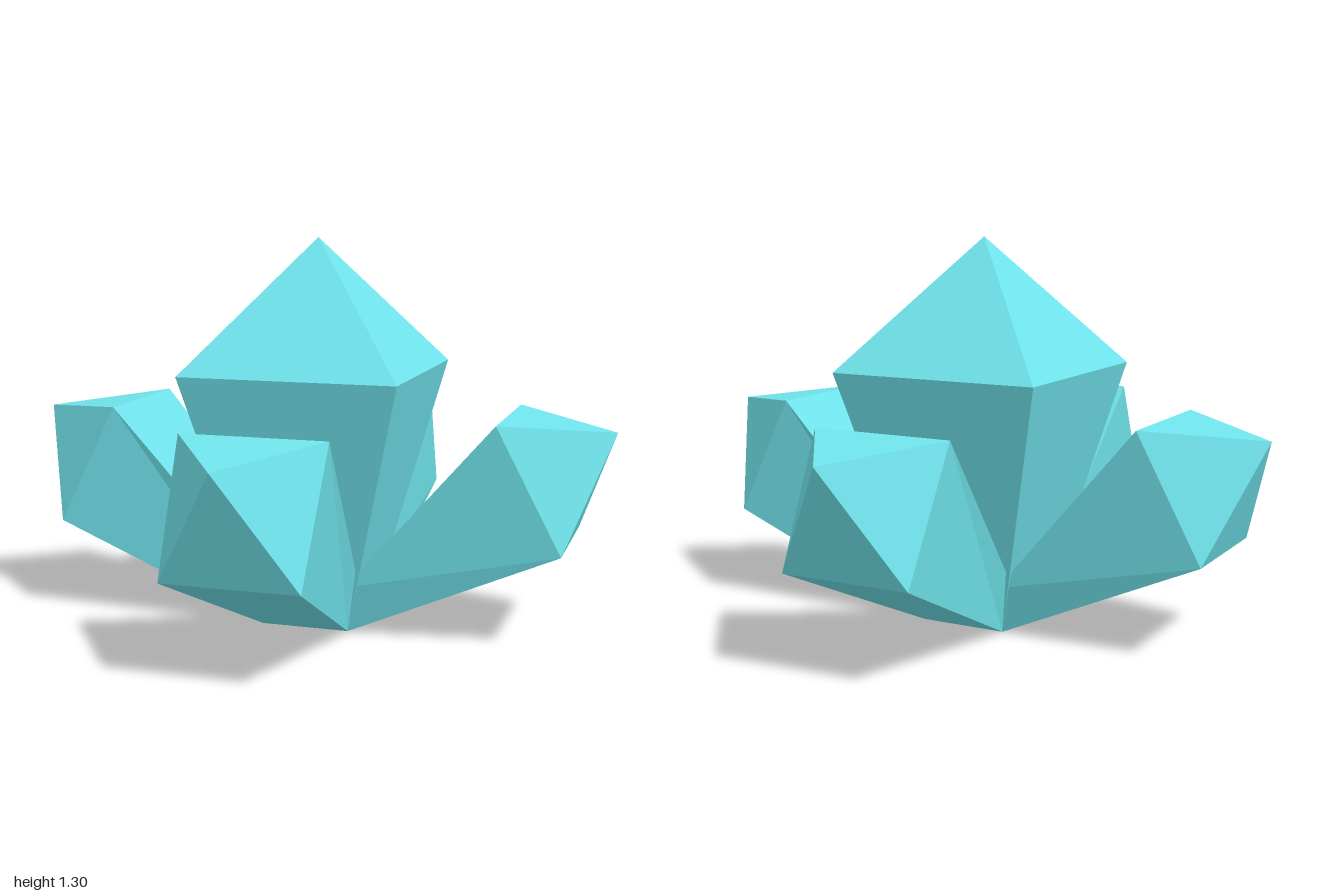
import * as THREE from 'three';

const material = new THREE.MeshStandardMaterial({ color: 0x70e4ec, flatShading: true });

// Four-sided crystal: base ring, shoulder ring (counter-clockwise seen from the tip) and a tip
function crystal(name, base, shoulder, tip) {
  const points = [];
  for (let i = 0; i < 4; i++) {
    const j = (i + 1) % 4;
    points.push(base[i], base[j], shoulder[j], base[i], shoulder[j], shoulder[i]);
    points.push(shoulder[i], shoulder[j], tip);
  }
  points.push(base[0], base[2], base[1], base[0], base[3], base[2]);
  const geometry = new THREE.BufferGeometry();
  geometry.setAttribute('position', new THREE.Float32BufferAttribute(points.flat(), 3));
  geometry.computeVertexNormals();
  const mesh = new THREE.Mesh(geometry, material);
  mesh.name = name;
  return mesh;
}

// Horizontal square ring
const square = (s, y) => [[s, y, s], [s, y, -s], [-s, y, -s], [-s, y, s]];

// Slanted ring across a side crystal, given its upper and lower edges as [x, y, half width]
const slanted = ([ux, uy, uw], [lx, ly, lw]) =>
  [[ux, uy, uw], [lx, ly, lw], [lx, ly, -lw], [ux, uy, -uw]];

export function createModel() {
  const group = new THREE.Group();
  group.name = 'crystalCluster';

  // Tall upright crystal
  group.add(crystal('centreCrystal', square(0.15, 0), square(0.366, 0.862), [0, 1.3, 0]));

  // Four crystals leaning outwards
  ['leftCrystal', 'backCrystal', 'rightCrystal', 'frontCrystal'].forEach((name, i) => {
    const arm = crystal(
      name,
      slanted([0.15, 0.16, 0.186], [0.15, 0, 0.15]),
      slanted([0.65, 0.733, 0.238], [0.86, 0.325, 0.22]),
      [1, 0.692, 0]
    );
    arm.rotation.y = i * Math.PI / 2;
    group.add(arm);
  });
  return group;
}
